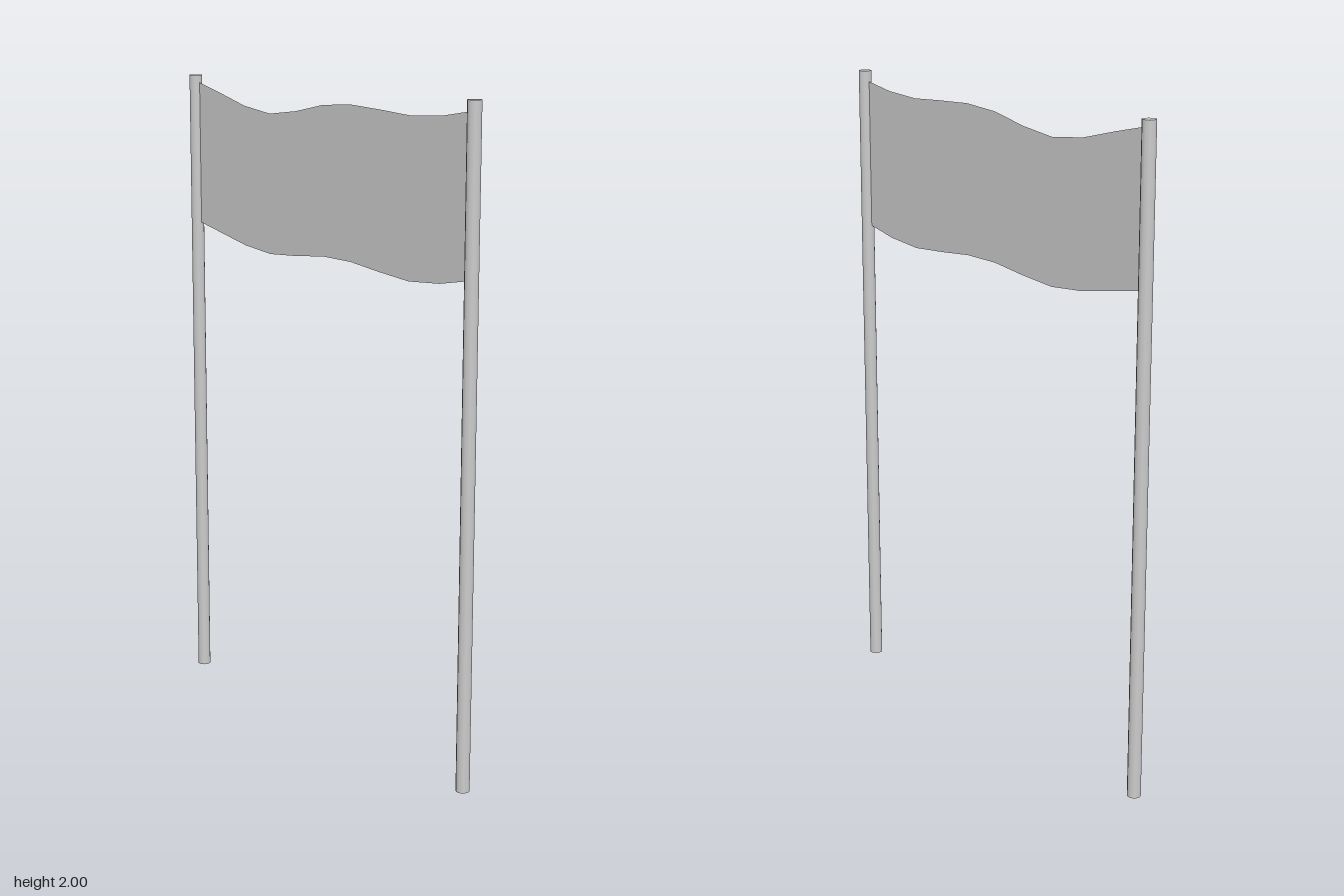
import * as THREE from 'three';

const POLE_Z = 0.669;
const POLE_RADIUS = 0.021;
const HEIGHT = 2;

// Edge heights of the cloth, evenly spaced from the front pole to the back pole
const TOP_EDGE = [1.97, 1.948, 1.94, 1.948, 1.954, 1.945, 1.918, 1.902, 1.918, 1.951, 1.981];
const BOTTOM_EDGE = [1.507, 1.481, 1.47, 1.48, 1.493, 1.493, 1.478, 1.468, 1.48, 1.505, 1.53];

function createPole(name, z, material) {
  const geometry = new THREE.CylinderGeometry(POLE_RADIUS, POLE_RADIUS, HEIGHT, 10);
  const pole = new THREE.Mesh(geometry, material);
  pole.name = name;
  pole.position.set(0, HEIGHT / 2, z);
  return pole;
}

// Flat cloth strip with wavy upper and lower edges
function createBanner(material) {
  const segments = TOP_EDGE.length - 1;
  const geometry = new THREE.PlaneGeometry(2 * POLE_Z, 1, segments, 1);
  geometry.rotateY(Math.PI / 2); // face +x, columns run from +z to -z
  const position = geometry.attributes.position;
  for (let i = 0; i <= segments; i++) {
    position.setY(i, TOP_EDGE[i]);
    position.setY(i + segments + 1, BOTTOM_EDGE[i]);
  }
  geometry.computeVertexNormals();
  const banner = new THREE.Mesh(geometry, material);
  banner.name = 'banner';
  return banner;
}

export function createModel() {
  const poleMaterial = new THREE.MeshStandardMaterial({ color: 0xcccccc });
  const clothMaterial = new THREE.MeshStandardMaterial({ color: 0xcccccc, side: THREE.DoubleSide });

  const model = new THREE.Group();
  model.name = 'bannerOnPoles';
  model.add(
    createPole('frontPole', POLE_Z, poleMaterial),
    createPole('backPole', -POLE_Z, poleMaterial),
    createBanner(clothMaterial),
  );
  return model;
}
